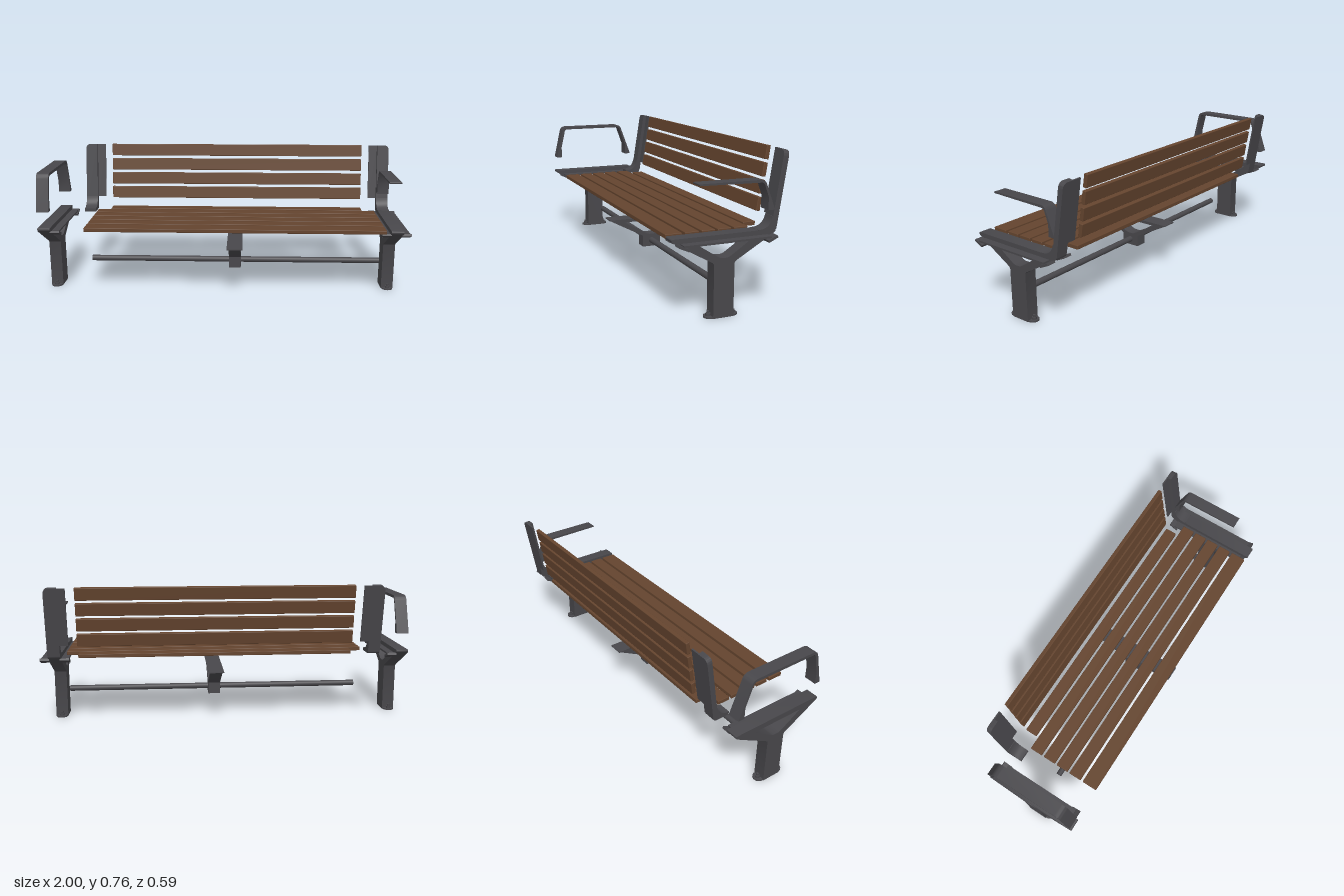
import * as THREE from 'three';
import { RoundedBoxGeometry } from 'three/addons/geometries/RoundedBoxGeometry.js';
import { toCreasedNormals } from 'three/addons/utils/BufferGeometryUtils.js';

const metal = new THREE.MeshStandardMaterial({ color: 0x48474b });
metal.name = 'dark grey metal';
const wood = new THREE.MeshStandardMaterial({ color: 0x64442e });
wood.name = 'brown wood';

const LEG_W = 0.066;

function add(parent, name, geometry, material, x = 0, y = 0, z = 0) {
  const mesh = new THREE.Mesh(geometry, material);
  mesh.name = name;
  mesh.position.set(x, y, z);
  parent.add(mesh);
  return mesh;
}

// closed outline of [z, y] corners; an optional third value rounds that corner
function outline(points, Type = THREE.Shape) {
  const path = new Type();
  const v = points.map(([z, y]) => new THREE.Vector2(-z, y));
  const n = v.length;
  v.forEach((p, i) => {
    const r = points[i][2] || 0;
    const prev = v[(i + n - 1) % n], next = v[(i + 1) % n];
    const a = p.clone().add(prev.clone().sub(p).setLength(r));
    const b = p.clone().add(next.clone().sub(p).setLength(r));
    if (i === 0) path.moveTo(a.x, a.y); else path.lineTo(a.x, a.y);
    if (r) path.quadraticCurveTo(p.x, p.y, b.x, b.y);
  });
  path.closePath();
  return path;
}

// side profile given a width along x, centred on x = 0
function sideProfile(points, width, holes = []) {
  const shape = outline(points);
  shape.holes = holes.map((h) => outline(h, THREE.Path));
  const g = new THREE.ExtrudeGeometry(shape, { depth: width, bevelEnabled: false, curveSegments: 8 });
  g.translate(0, 0, -width / 2).rotateY(Math.PI / 2);
  return toCreasedNormals(g, 0.6);
}

// Y-shaped leg with top rail, bolted foot and slat brackets on the given sides
function makeLeg(name, x, bracketSides) {
  const leg = new THREE.Group();
  leg.name = name;
  leg.position.x = x;
  add(leg, 'legFrame', sideProfile([
    [0.083, 0], [0.083, 0.262, 0.01], [0.262, 0.364], [0.293, 0.383, 0.006], [0.293, 0.396, 0.006],
    [-0.231, 0.396, 0.006], [-0.231, 0.383, 0.006], [-0.2, 0.364], [-0.021, 0.262, 0.01], [-0.021, 0],
  ], LEG_W, [[[0.178, 0.366, 0.006], [0.052, 0.285, 0.015], [0.01, 0.285, 0.015], [-0.116, 0.366, 0.006]]]), metal);

  for (const s of [-1, 1]) {
    const zBolt = 0.031 + s * 0.063;
    add(leg, 'footPlate', new THREE.CylinderGeometry(0.03, 0.03, 0.008, 24), metal, 0, 0.004, 0.031 + s * 0.055);
    add(leg, 'washer', new THREE.CylinderGeometry(0.012, 0.012, 0.012, 16), metal, 0, 0.014, zBolt);
    add(leg, 'bolt', new THREE.CylinderGeometry(0.007, 0.007, 0.012, 6), metal, 0, 0.025, zBolt);
  }
  for (const side of bracketSides) {
    const bx = side * (LEG_W / 2 + 0.02);
    add(leg, 'slatBracket', new THREE.BoxGeometry(0.04, 0.009, 0.44), metal, bx, 0.369, 0.031);
    for (const s of [-1, 1]) {
      const tab = add(leg, 'bracketTab', new THREE.BoxGeometry(0.05, 0.012, 0.052), metal, bx, 0.361, 0.028 + s * 0.222);
      tab.rotation.x = -s * 0.42;
    }
  }
  return leg;
}

// leaning frame shared by the posts and back slats: local z = 0 is the front face
function leaning(parent, x = 0) {
  const g = new THREE.Group();
  g.name = 'leaningFrame';
  g.position.set(x, 0.4, -0.208);
  g.rotation.x = -0.158;
  parent.add(g);
  return g;
}

function makePost(name, x, outer) {
  const post = new THREE.Group();
  post.name = name;
  const lean = leaning(post, x);
  // upright with a rounded top corner on the outer side
  const w = LEG_W / 2, top = 0.366, r = 0.03, s = new THREE.Shape();
  s.moveTo(-w, 0);
  s.lineTo(w, 0);
  if (outer > 0) { s.lineTo(w, top - r); s.quadraticCurveTo(w, top, w - r, top); } else s.lineTo(w, top);
  if (outer < 0) { s.lineTo(-w + r, top); s.quadraticCurveTo(-w, top, -w, top - r); } else s.lineTo(-w, top);
  s.closePath();
  const g = new THREE.ExtrudeGeometry(s, { depth: 0.028, bevelEnabled: false });
  add(lean, 'upright', toCreasedNormals(g, 0.6), metal, 0, 0, -0.028);
  add(lean, 'backBracket', new THREE.BoxGeometry(0.047, 0.312, 0.008), metal, -outer * (w + 0.0235), 0.21, -0.024);
  // curved foot
  add(post, 'postFoot', sideProfile([
    [-0.14, 0.379], [-0.14, 0.397], [-0.2, 0.397, 0.055], [-0.214, 0.455], [-0.239, 0.455],
    [-0.231, 0.379, 0.012],
  ], LEG_W), metal, x);
  return post;
}

export function createModel() {
  const bench = new THREE.Group();
  bench.name = 'parkBench';

  // end legs
  bench.add(makeLeg('rightLeg', -0.967, [1]));
  bench.add(makeLeg('leftLeg', 0.917, [-1, 1]));

  // back posts
  bench.add(makePost('rightPost', -0.807, -1));
  bench.add(makePost('leftPost', 0.917, 1));

  // seat slats: [front z, back z]
  const slatZ = [[0.285, 0.201], [0.186, 0.116], [0.102, 0.033], [0.02, -0.05], [-0.065, -0.135]];
  for (const [a, b] of slatZ) {
    add(bench, 'seatSlat', new RoundedBoxGeometry(1.615, 0.021, a - b, 2, 0.003), wood, 0.053, 0.387, (a + b) / 2);
  }
  add(bench, 'rearSeatSlat', new RoundedBoxGeometry(1.475, 0.021, 0.066, 2, 0.003), wood, 0.054, 0.387, -0.183);

  // back slats
  const back = leaning(bench);
  back.name = 'backrest';
  for (let i = 0; i < 4; i++) {
    add(back, 'backSlat', new RoundedBoxGeometry(1.475, 0.068, 0.021, 2, 0.003), wood, 0.054, 0.082 + i * 0.0838, -0.015);
  }

  // full armrest
  add(bench, 'loopArmrest', sideProfile([
    [0.293, 0.486], [0.247, 0.686, 0.028], [-0.152, 0.686, 0.028], [-0.226, 0.486], [-0.19, 0.486],
    [-0.19, 0.548], [-0.146, 0.671, 0.014], [0.234, 0.671, 0.014], [0.261, 0.552], [0.261, 0.486],
  ], LEG_W), metal, -0.967);

  // short armrest carried by the back only
  add(bench, 'cantileverArmrest', sideProfile([
    [0.161, 0.632, 0.003], [-0.17, 0.63, 0.022], [-0.226, 0.486], [-0.19, 0.486],
    [-0.19, 0.548], [-0.164, 0.617, 0.014], [0.161, 0.624, 0.003],
  ], LEG_W), metal, 0.917);

  // cross tube and middle support
  const tube = add(bench, 'crossTube', new THREE.CylinderGeometry(0.016, 0.016, 1.64, 24), metal, 0.053, 0.149, 0.031);
  tube.rotation.z = Math.PI / 2;
  const support = new THREE.Group();
  support.name = 'middleSupport';
  support.position.x = 0.054;
  bench.add(support);
  add(support, 'supportFrame', sideProfile([
    [0.083, 0.115], [0.083, 0.178], [0.262, 0.272], [0.276, 0.281], [-0.214, 0.281], [-0.2, 0.272],
    [-0.021, 0.178], [-0.021, 0.115],
  ], 0.066, [[[0.2, 0.265, 0.005], [0.052, 0.185, 0.015], [0.01, 0.185, 0.015], [-0.138, 0.265, 0.005]]]), metal);
  add(support, 'supportTop', new THREE.BoxGeometry(0.085, 0.005, 0.496), metal, 0, 0.2825, 0.031);

  return bench;
}
